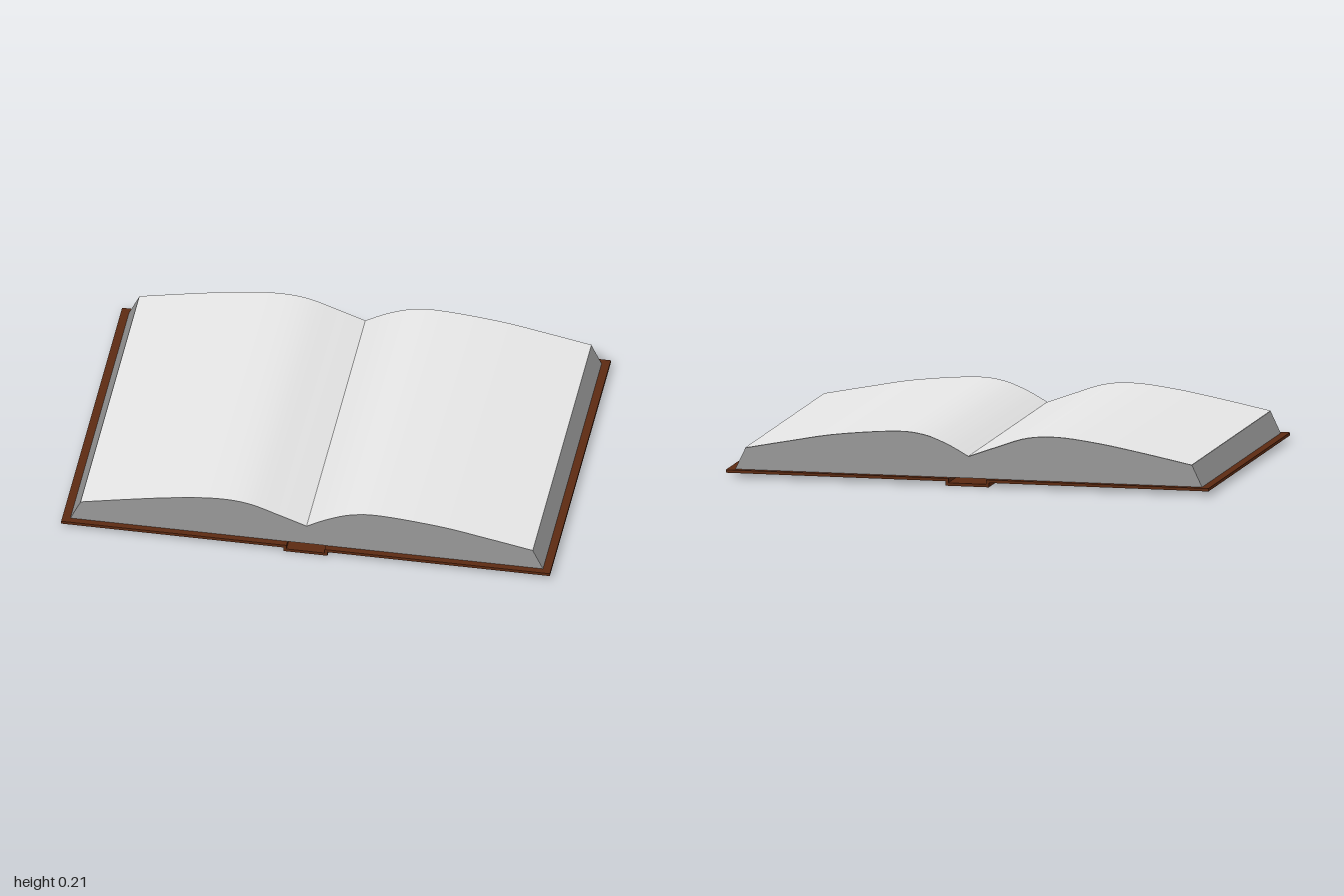
import * as THREE from 'three';

const paper = new THREE.MeshStandardMaterial({ name: 'paper white', color: 0xf4f4f4, side: THREE.DoubleSide });
const paperEdge = new THREE.MeshStandardMaterial({ name: 'page edge grey', color: 0x989898 });
const leather = new THREE.MeshStandardMaterial({ name: 'cover brown', color: 0x5c2a12 });

const PAGE_DEPTH = 1.37, COVER_DEPTH = 1.424;
const BASE = 0.03;      // height of the cover's upper face
const SEGMENTS = 32;

// Curved top of each half, running from the outer edge to the gutter (x, y)
const profiles = {
  right: [[-0.925, 0.12], [-0.72, 0.161], [-0.54, 0.193], [-0.37, 0.212], [-0.24, 0.203], [-0.11, 0.16], [0, 0.12]],
  left: [[0.925, 0.12], [0.74, 0.156], [0.55, 0.19], [0.31, 0.212], [0.19, 0.203], [0.09, 0.168], [0, 0.12]],
};

function topCurve(points) {
  const curve = new THREE.SplineCurve(points.map(([x, y]) => new THREE.Vector2(x, y)));
  return curve.getPoints(SEGMENTS);
}

function extrudeAlongZ(points, depth, material, name) {
  const geometry = new THREE.ExtrudeGeometry(new THREE.Shape(points), { depth, bevelEnabled: false });
  geometry.translate(0, 0, -depth / 2);
  const mesh = new THREE.Mesh(geometry, material);
  mesh.name = name;
  return mesh;
}

// One stack of leaves with its smooth open page on top
function pageHalf(side) {
  const group = new THREE.Group();
  group.name = side + 'Pages';
  const top = topCurve(profiles[side]);
  const outer = Math.sign(top[0].x) * 0.967;

  const outline = [
    new THREE.Vector2(0, BASE),
    new THREE.Vector2(outer, BASE),
    ...top.map((p) => new THREE.Vector2(p.x, p.y - 0.002)),
  ];
  group.add(extrudeAlongZ(outline, PAGE_DEPTH, paperEdge, side + 'PageBlock'));

  // Bend a flat plane so it follows the curve from left to right
  const row = top[0].x < 0 ? top : [...top].reverse();
  const sheet = new THREE.PlaneGeometry(1, PAGE_DEPTH, SEGMENTS, 1).rotateX(-Math.PI / 2);
  const pos = sheet.attributes.position;
  for (let i = 0; i < pos.count; i++) {
    const p = row[i % (SEGMENTS + 1)];
    pos.setXYZ(i, p.x, p.y, pos.getZ(i));
  }
  sheet.computeVertexNormals();
  const page = new THREE.Mesh(sheet, paper);
  page.name = side + 'OpenPage';
  group.add(page);
  return group;
}

export function createModel() {
  const book = new THREE.Group();
  book.name = 'openBook';

  // Cover: two flat boards joined by a sunken, hollow spine
  const half = [[0.09, 0], [0.09, 0.018], [1, 0.018], [1, BASE], [0.078, BASE], [0.078, 0.012]];
  const coverOutline = [
    ...half.map(([x, y]) => new THREE.Vector2(x, y)),
    ...half.map(([x, y]) => new THREE.Vector2(-x, y)).reverse(),
  ];
  book.add(extrudeAlongZ(coverOutline, COVER_DEPTH, leather, 'cover'));

  book.add(pageHalf('left'), pageHalf('right'));
  return book;
}
